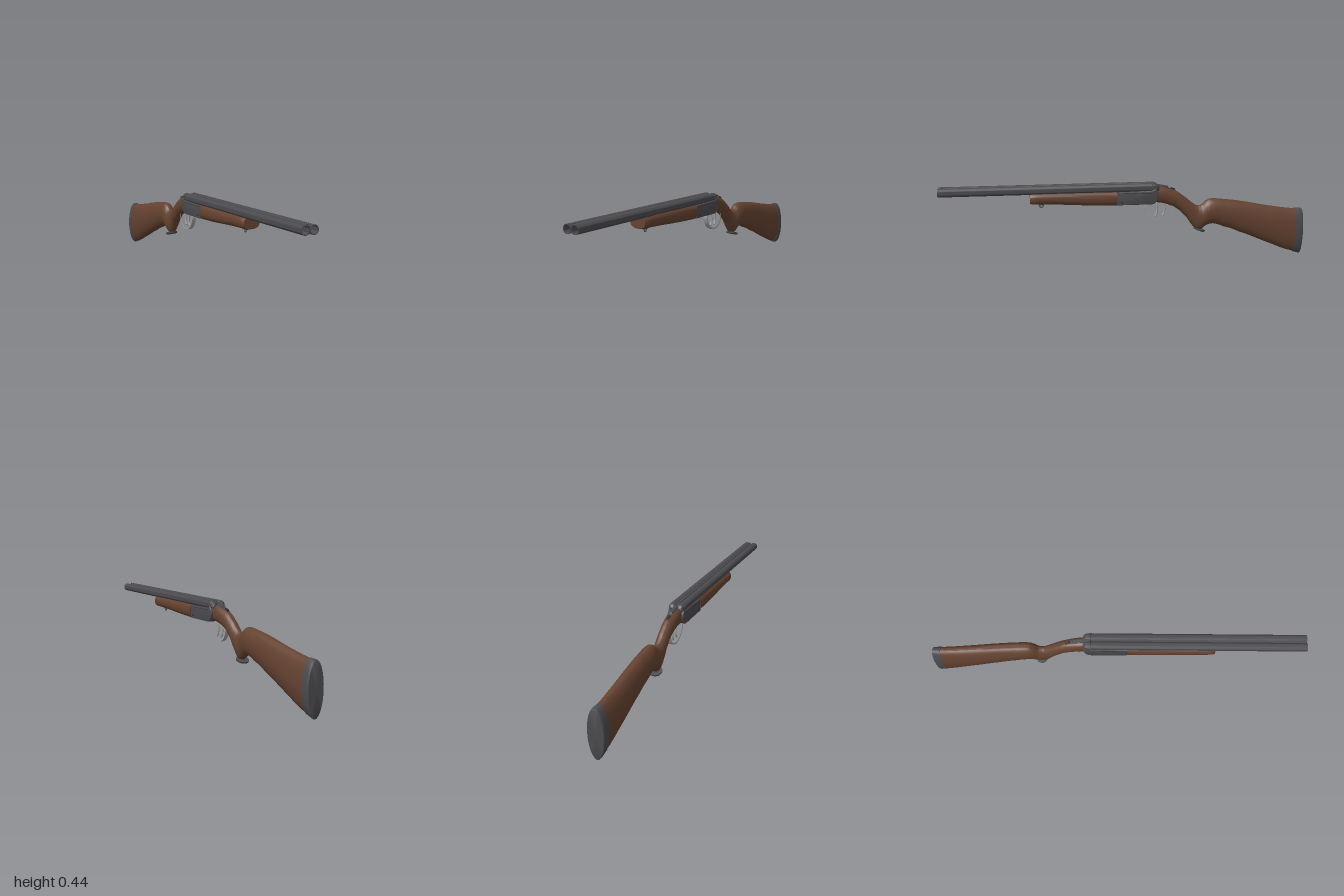
import * as THREE from 'three';
import { toCreasedNormals } from 'three/addons/utils/BufferGeometryUtils.js';

const material = (name, color) => {
  const m = new THREE.MeshStandardMaterial({ color });
  m.name = name;
  return m;
};

// Closed loft along -z; each section is [z, top, bottom, halfWidth, squareness]
function loft(keys, steps = 1, sides = 36) {
  const rows = [];
  const at = (i) => keys[Math.max(0, Math.min(keys.length - 1, i))];
  for (let i = 0; i < keys.length - 1; i++) {
    for (let s = 0; s < steps; s++) {
      const t = s / steps;
      rows.push(keys[i].map((p1, c) => {
        const p0 = at(i - 1)[c], p2 = at(i + 1)[c], p3 = at(i + 2)[c];
        return c === 0 ? p1 + (p2 - p1) * t
          : 0.5 * (2 * p1 + (p2 - p0) * t + (2 * p0 - 5 * p1 + 4 * p2 - p3) * t * t + (3 * p1 - p0 - 3 * p2 + p3) * t * t * t);
      }));
    }
  }
  rows.push(keys[keys.length - 1]);
  const pos = [], index = [];
  const power = (v, n) => Math.sign(v) * Math.abs(v) ** (2 / n);
  for (const [z, top, bottom, w, n] of rows) {
    for (let j = 0; j < sides; j++) {
      const a = (j / sides) * Math.PI * 2;
      pos.push(w * power(Math.cos(a), n), (top + bottom) / 2 + ((top - bottom) / 2) * power(Math.sin(a), n), z);
    }
  }
  for (let i = 0; i < rows.length - 1; i++) {
    for (let j = 0; j < sides; j++) {
      const k = (j + 1) % sides, a = i * sides, b = a + sides;
      index.push(a + j, b + j, a + k, b + j, b + k, a + k);
    }
  }
  const last = (rows.length - 1) * sides, c = rows.length * sides;
  for (const r of [rows[0], rows[rows.length - 1]]) pos.push(0, (r[1] + r[2]) / 2, r[0]);
  for (let j = 0; j < sides; j++) {
    const k = (j + 1) % sides;
    index.push(c, j, k, c + 1, last + k, last + j);
  }
  const g = new THREE.BufferGeometry();
  g.setAttribute('position', new THREE.Float32BufferAttribute(pos, 3));
  g.setIndex(index);
  return toCreasedNormals(g, 0.7);
}

// Side profile drawn in (z, y), extruded across x and centred
function sideExtrude(shape, width, bevel = 0) {
  const depth = width - bevel * 2;
  const g = new THREE.ExtrudeGeometry(shape, {
    depth, curveSegments: 20, bevelEnabled: bevel > 0, bevelSize: bevel, bevelThickness: bevel, bevelOffset: -bevel, bevelSegments: 3,
  });
  g.translate(0, 0, -depth / 2).rotateY(-Math.PI / 2);
  return toCreasedNormals(g, 0.6);
}

const polygon = (pts) => new THREE.Shape(pts.map(([z, y]) => new THREE.Vector2(z, y)));

export function createModel() {
  const group = new THREE.Group();
  const steel = material('gunmetal', 0x4b4b4f);
  const wood = material('walnut', 0x644230);
  const silver = material('silver', 0xa0a0a0);
  const dark = material('darkSteel', 0x333336);

  const add = (name, geometry, mat, x = 0, y = 0, z = 0) => {
    const mesh = new THREE.Mesh(geometry, mat);
    mesh.name = name;
    mesh.position.set(x, y, z);
    group.add(mesh);
    return mesh;
  };
  const box = (w, h, d) => new THREE.BoxGeometry(w, h, d);

  // Twin hollow barrels with domed breech ends
  const r = 0.0225, length = 1.13;
  const profile = [[0, 0], [r, 0], [r, length], [0.019, length], [0.019, length - 0.25], [0, length - 0.25]];
  const barrel = toCreasedNormals(
    new THREE.LatheGeometry(profile.map(([a, b]) => new THREE.Vector2(a, b)), 32).rotateX(Math.PI / 2), 0.6);
  const breech = loft([[-0.133, 0.0225, -0.0225, 0.0225, 2], [-0.15, 0.0215, -0.0225, 0.0215, 2],
    [-0.163, 0.016, -0.0225, 0.017, 2], [-0.172, 0.004, -0.0225, 0.008, 2]], 3);
  for (const [side, x] of [['left', r], ['right', -r]]) {
    add(side + 'Barrel', barrel, steel, x, 0.4115, -0.13);
    add(side + 'Breech', breech, steel, x, 0.4115, 0);
  }

  // Sighting rib, lower rib and front bead
  add('topRib', box(0.011, 0.012, 1.12), steel, 0, 0.424, 0.435);
  add('lowerRib', box(0.014, 0.012, 1.12), steel, 0, 0.399, 0.435);
  add('breechBridge', box(0.03, 0.035, 0.03), steel, 0, 0.409, -0.147);
  add('frontBead', new THREE.SphereGeometry(0.005, 16, 12), steel, 0, 0.436, 0.98);

  // Receiver body with curved rear edge
  const body = new THREE.Shape();
  body.moveTo(0.06, 0.321);
  body.lineTo(0.06, 0.391);
  body.lineTo(-0.13, 0.396);
  body.lineTo(-0.15, 0.405);
  body.quadraticCurveTo(-0.176, 0.38, -0.162, 0.35);
  body.quadraticCurveTo(-0.155, 0.325, -0.13, 0.321);
  add('receiver', sideExtrude(body, 0.09, 0.004), steel);
  for (const [side, s] of [['left', 1], ['right', -1]]) {
    add(side + 'ReceiverLine', box(0.002, 0.002, 0.18), dark, s * 0.045, 0.384, -0.04);
    add(side + 'HingePin', new THREE.CylinderGeometry(0.006, 0.006, 0.002, 20).rotateZ(Math.PI / 2), dark, s * 0.045, 0.337, 0.035);
  }

  // Wooden fore-end under the barrels
  add('foreEnd', loft([
    [0.525, 0.396, 0.339, 0.044, 2.6], [0.515, 0.398, 0.335, 0.048, 2.8], [0.4, 0.4, 0.331, 0.049, 2.8],
    [0.2, 0.4, 0.32, 0.05, 2.8], [0.06, 0.4, 0.315, 0.049, 2.8]], 4), wood);

  // Sling loop
  add('slingMount', box(0.012, 0.014, 0.03), steel, 0, 0.333, 0.465);
  add('slingLoop', new THREE.TorusGeometry(0.009, 0.003, 10, 24).rotateY(Math.PI / 2), steel, 0, 0.323, 0.465);

  // Wrist, grip and butt as one smooth stock
  add('stock', loft([
    [-0.15, 0.415, 0.325, 0.034, 2.5], [-0.19, 0.412, 0.32, 0.034, 2.3], [-0.23, 0.4, 0.308, 0.033, 2.1],
    [-0.28, 0.379, 0.283, 0.031, 2], [-0.33, 0.343, 0.236, 0.031, 2], [-0.365, 0.314, 0.187, 0.031, 2],
    [-0.39, 0.3, 0.161, 0.031, 2], [-0.415, 0.302, 0.163, 0.033, 2], [-0.437, 0.322, 0.18, 0.037, 2],
    [-0.46, 0.334, 0.191, 0.04, 2], [-0.49, 0.335, 0.192, 0.042, 2], [-0.54, 0.33, 0.175, 0.043, 2],
    [-0.64, 0.316, 0.138, 0.044, 2], [-0.8, 0.286, 0.073, 0.045, 2], [-0.957, 0.264, 0.015, 0.045, 2]], 5), wood);

  // Butt pad
  add('buttPad', loft([[-0.955, 0.267, 0.011, 0.0455, 2], [-0.99, 0.266, 0.002, 0.0455, 2],
    [-0.997, 0.264, 0.001, 0.044, 2], [-1, 0.258, 0.007, 0.041, 2]]), steel);

  // Grip cap, tilted down towards the rear
  const cap = add('gripCap', new THREE.CylinderGeometry(0.034, 0.032, 0.009, 32), steel, 0, 0.161, -0.406);
  cap.rotation.x = -0.33;

  // Flat-band trigger guard: outer curve with an inset hole
  const outline = [[-0.1, 0.312], [-0.107, 0.27], [-0.135, 0.237], [-0.185, 0.221], [-0.232, 0.238],
    [-0.254, 0.276], [-0.25, 0.312], [-0.175, 0.322]];
  const centre = new THREE.Vector2(-0.177, 0.272);
  const ring = (inset) => new THREE.CatmullRomCurve3(outline.map(([z, y]) => {
    const v = new THREE.Vector2(z, y).sub(centre);
    v.setLength(v.length() - inset).add(centre);
    return new THREE.Vector3(v.x, v.y, 0);
  }), true).getPoints(56).slice(0, -1).map((p) => new THREE.Vector2(p.x, p.y));
  const guard = new THREE.Shape(ring(0));
  guard.holes.push(new THREE.Path(ring(0.009)));
  add('triggerGuard', sideExtrude(guard, 0.022), silver);

  // Two curved triggers
  const triggerCurve = new THREE.CatmullRomCurve3([[0, 0.32, 0], [0, 0.29, -0.004], [0, 0.265, -0.003], [0, 0.248, 0.005]]
    .map((p) => new THREE.Vector3(...p)));
  const trigger = new THREE.TubeGeometry(triggerCurve, 16, 0.005, 10);
  const triggerTip = new THREE.SphereGeometry(0.005, 12, 8);
  for (const [name, z] of [['front', -0.162], ['rear', -0.203]]) {
    add(name + 'Trigger', trigger, silver, 0, 0, z);
    add(name + 'TriggerTip', triggerTip, silver, 0, 0.248, z + 0.005);
  }

  // Opening lever and safety slide on top of the wrist
  add('topLever', sideExtrude(polygon([[-0.14, 0.41], [-0.14, 0.428], [-0.17, 0.424], [-0.225, 0.413],
    [-0.228, 0.406], [-0.18, 0.405]]), 0.018, 0.002), steel);
  const tang = add('tangPlate', box(0.016, 0.006, 0.1), steel, 0, 0.402, -0.218);
  tang.rotation.x = -0.3;
  const safety = add('safetySlide', box(0.01, 0.008, 0.024), dark, 0, 0.397, -0.252);
  safety.rotation.x = -0.35;

  return group;
}
